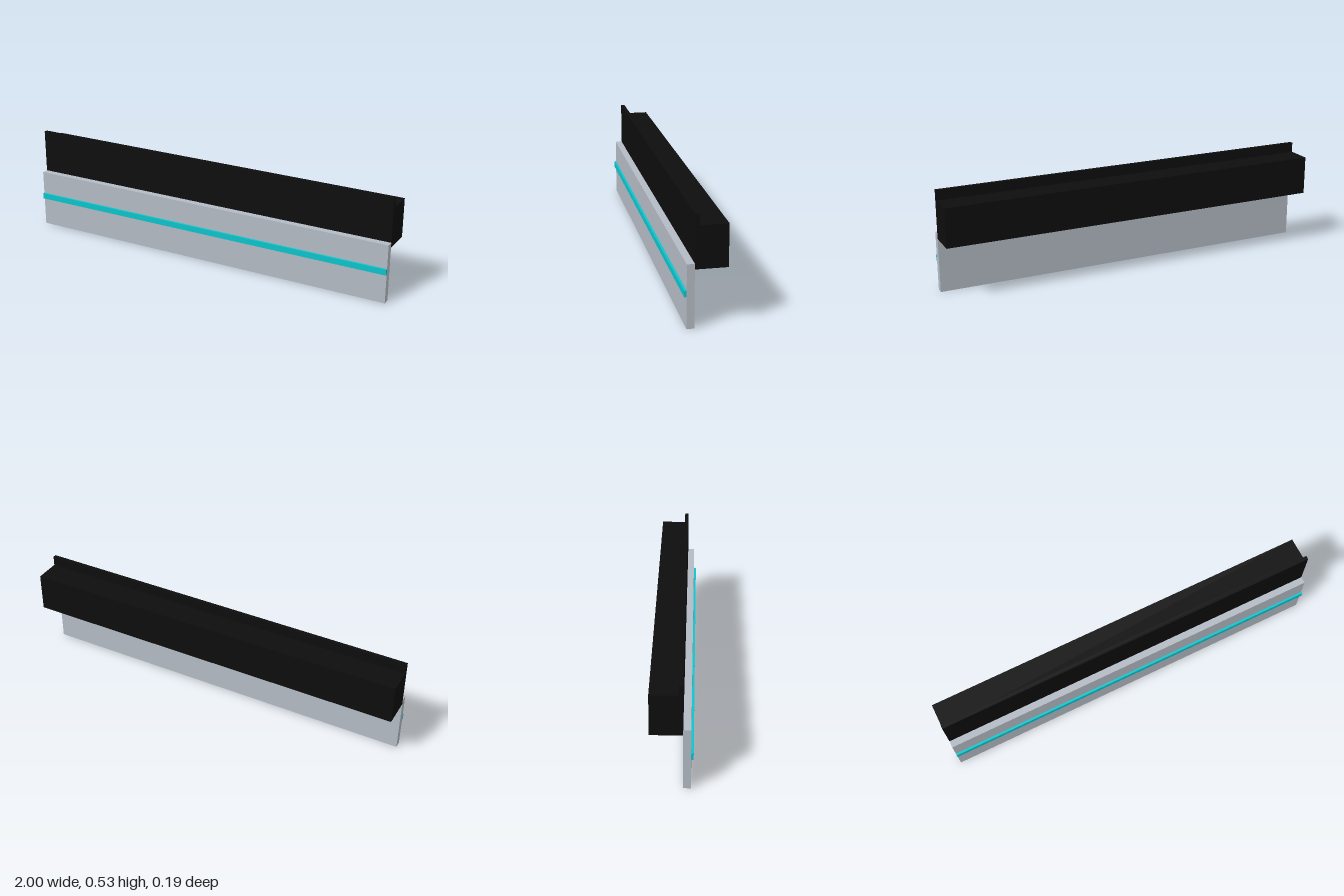
import * as THREE from 'three';

const LENGTH = 2;

// Extrudes a [z, y] cross-section along the full length in x
function bar(name, profile, material) {
  const shape = new THREE.Shape(profile.map(([z, y]) => new THREE.Vector2(z, y)));
  const geometry = new THREE.ExtrudeGeometry(shape, { depth: LENGTH, bevelEnabled: false });
  geometry.translate(0, 0, -LENGTH / 2);
  geometry.rotateY(-Math.PI / 2);
  const mesh = new THREE.Mesh(geometry, material);
  mesh.name = name;
  return mesh;
}

const rectangle = (z0, z1, y0, y1) => [[z0, y0], [z1, y0], [z1, y1], [z0, y1]];

export function createModel() {
  const black = new THREE.MeshStandardMaterial({ name: 'black', color: 0x0d0d0d });
  const grey = new THREE.MeshStandardMaterial({ name: 'light grey', color: 0xb4bbc4 });
  const teal = new THREE.MeshStandardMaterial({ name: 'teal', color: 0x0cc4cc });

  const group = new THREE.Group();
  group.name = 'edgeBeam';

  // Beam with a thin raised lip along its front edge
  group.add(bar('beam', [
    [-0.097, 0.276], [0.052, 0.276], [0.052, 0.526],
    [0.033, 0.526], [0.033, 0.475], [-0.097, 0.475],
  ], black));

  // Hanging front panel
  group.add(bar('frontPanel', rectangle(0.052, 0.087, 0, 0.302), grey));

  // Raised accent strip on the panel
  group.add(bar('accentStrip', rectangle(0.087, 0.098, 0.151, 0.181), teal));

  return group;
}
